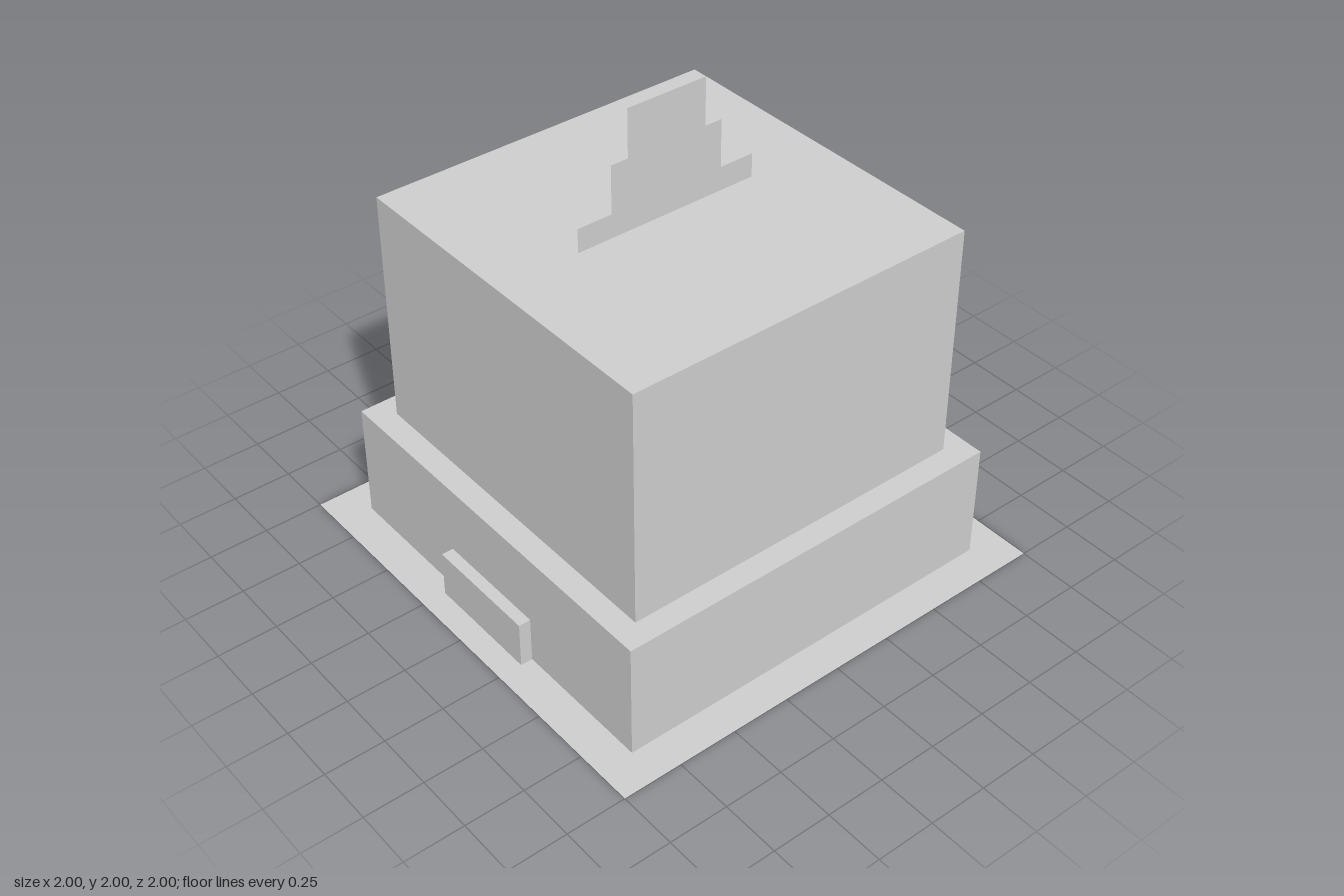
import * as THREE from 'three';

export function createModel() {
  const group = new THREE.Group();
  const stone = new THREE.MeshStandardMaterial({ color: 0xcccccc, side: THREE.DoubleSide });
  stone.name = 'pale grey stone';

  function add(name, geometry, x = 0, y = 0, z = 0) {
    const mesh = new THREE.Mesh(geometry, stone);
    mesh.name = name;
    mesh.position.set(x, y, z);
    group.add(mesh);
    return mesh;
  }

  // Flat ground sheet
  add('groundSheet', new THREE.PlaneGeometry(2, 2).rotateX(-Math.PI / 2));

  // Two stacked blocks
  add('lowerBlock', new THREE.BoxGeometry(1.7, 0.5, 1.7), 0, 0.25);
  add('upperBlock', new THREE.BoxGeometry(1.5, 1, 1.5), 0, 1);

  // Low ledge on each side
  for (const side of [1, -1]) {
    add(side > 0 ? 'leftLedge' : 'rightLedge', new THREE.BoxGeometry(0.05, 0.2, 0.5), side * 0.875, 0.1);
  }

  // Stepped upright sheet on the roof, from half-widths and heights
  const steps = [[0.4, 0], [0.4, 0.1], [0.25, 0.1], [0.25, 0.3], [0.175, 0.3], [0.175, 0.5]];
  const outline = [
    ...steps.map(([x, y]) => new THREE.Vector2(x, y)),
    ...steps.map(([x, y]) => new THREE.Vector2(-x, y)).reverse(),
  ];
  add('steppedCrest', new THREE.ShapeGeometry(new THREE.Shape(outline)), 0, 1.5);

  return group;
}
